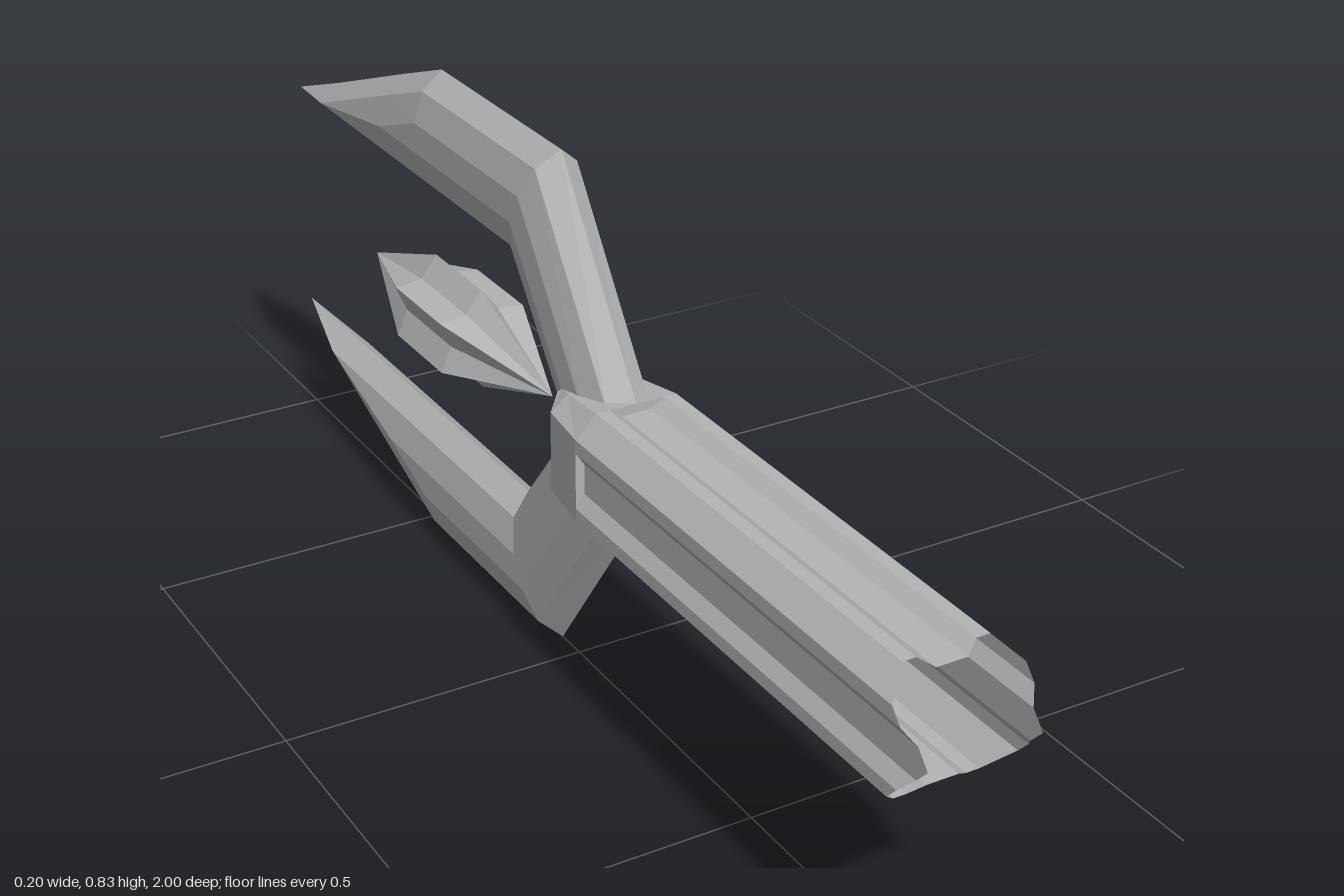
import * as THREE from 'three';

// Skin rings of [x, y, z] points, ordered front (+z) to back, counter-clockwise seen from +z.
function loft(rings, capFront = false, capBack = false) {
  const pos = [];
  const tri = (a, b, c) => {
    const [A, B, D] = [a, b, c].map((p) => new THREE.Vector3(...p));
    const area = B.clone().sub(A).cross(D.clone().sub(A)).length();
    if (area > 1e-8) pos.push(...a, ...b, ...c);
  };
  const centre = (r) => [0, 1, 2].map((k) => r.reduce((s, p) => s + p[k], 0) / r.length);
  for (let s = 0; s < rings.length - 1; s++) {
    const a = rings[s], b = rings[s + 1];
    a.forEach((_, i) => {
      const j = (i + 1) % a.length;
      tri(a[i], b[i], a[j]);
      tri(a[j], b[i], b[j]);
    });
  }
  const first = rings[0], last = rings[rings.length - 1];
  if (capFront) first.forEach((p, i) => tri(centre(first), p, first[(i + 1) % first.length]));
  if (capBack) last.forEach((p, i) => tri(centre(last), last[(i + 1) % last.length], p));
  const g = new THREE.BufferGeometry();
  g.setAttribute('position', new THREE.Float32BufferAttribute(pos, 3));
  g.computeVertexNormals();
  return g;
}

// Octagon with half sizes X, Y and flat half lengths fx (top), fy (sides)
const octagon = (X, Y, fx, fy, z) =>
  [[X, -fy], [X, fy], [fx, Y], [-fx, Y], [-X, fy], [-X, -fy], [-fx, -Y], [fx, -Y]].map(([x, y]) => [x, y, z]);

// One prong cross-section between its outer and inner edge, with two bevel steps per side
function prongRing([oz, oy, iz, iy, h]) {
  const d1 = Math.min(0.03, h / 2), d2 = Math.min(0.08, h / 2);
  const x1 = (0.035 * d1) / 0.03, x2 = x1 + (0.015 * (d2 - d1)) / 0.05;
  const f1 = h ? d1 / h : 0, f2 = h ? d2 / h : 0;
  const at = (x, t) => [x, iy + (oy - iy) * t, iz + (oz - iz) * t];
  return [
    at(0, 0), at(x1, f1), at(x2, f2), at(x2, 1 - f2), at(x1, 1 - f1),
    at(0, 1), at(-x1, 1 - f1), at(-x2, 1 - f2), at(-x2, f2), at(-x1, f1),
  ];
}

export function createModel() {
  const model = new THREE.Group();
  model.name = 'energyStaff';
  const metal = new THREE.MeshStandardMaterial({ color: 0xb4b4b4 });
  metal.name = 'grey metal';
  const shell = new THREE.MeshStandardMaterial({ color: 0xb4b4b4, side: THREE.DoubleSide });
  shell.name = 'grey metal shell';

  const body = new THREE.Group();
  body.position.y = 0.417;
  model.add(body);
  const add = (name, geometry, material = metal) => {
    const mesh = new THREE.Mesh(geometry, material);
    mesh.name = name;
    body.add(mesh);
    return mesh;
  };

  // Hollow handle: octagon with a groove along each of its four sides, end cut to a V
  const side = [[0.1, -0.066], [0.1, -0.045], [0.086, -0.024], [0.086, 0], [0.086, 0.024], [0.1, 0.045], [0.1, 0.066]];
  const outline = [];
  for (let k = 0; k < 4; k++) {
    const c = Math.round(Math.cos((k * Math.PI) / 2)), s = Math.round(Math.sin((k * Math.PI) / 2));
    side.forEach(([x, y]) => outline.push([x * c - y * s, x * s + y * c]));
  }
  add('handle', loft([
    outline.map(([x, y]) => [x, y, 1 - 0.9 * Math.abs(y)]),
    outline.map(([x, y]) => [x, y, 0.168]),
  ]), shell);

  // Collar narrowing toward the prongs
  add('collar', loft([
    octagon(0.1, 0.1, 0.066, 0.066, 0.168),
    octagon(0.087, 0.086, 0.058, 0.064, 0.07),
    octagon(0.055, 0.077, 0.048, 0.073, 0.033),
  ], true, true));

  // Two bent prongs; each station is outer z, y, inner z, y and bevel height
  const stations = [
    [0.16, 0, 0, 0, 0.21],
    [0.167, 0.1, -0.005, 0.005, 0.21],
    [-0.053, 0.413, -0.165, 0.204, 0.21],
    [-0.437, 0.413, -0.437, 0.204, 0.21],
    [-0.57, 0.364, -0.57, 0.204, 0.16],
    [-0.834, 0.264, -0.834, 0.204, 0.06],
    [-1, 0.204, -1, 0.204, 0],
  ];
  const prong = loft(stations.map(prongRing), true);
  add('upperProng', prong);
  add('lowerProng', prong).rotation.z = Math.PI;

  // Floating fluted crystal, pointed at both ends
  const star = (r, z) => Array.from({ length: 12 }, (_, i) => {
    const a = Math.PI / 2 + (i * Math.PI) / 6, q = r * (i % 2 ? 0.66 : 1);
    return [q * Math.cos(a), q * Math.sin(a), z];
  });
  add('crystal', loft([star(0, -0.083), star(0.085, -0.315), star(0.085, -0.473), star(0, -0.705)]));

  return model;
}
